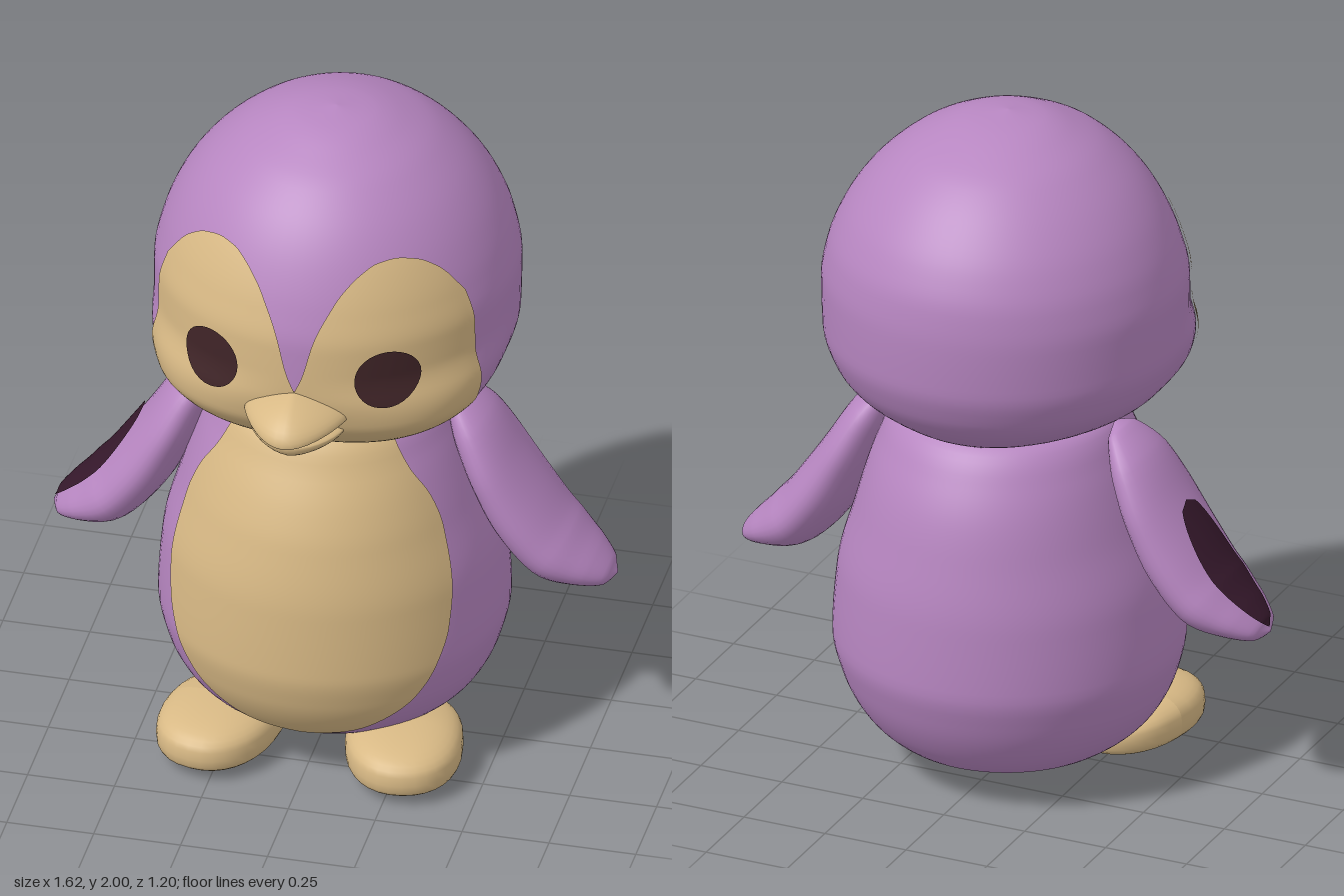
import * as THREE from 'three';
import { mergeVertices } from 'three/addons/utils/BufferGeometryUtils.js';

const material = (name, color) => {
  const m = new THREE.MeshStandardMaterial({ color });
  m.name = name;
  return m;
};

// Smooth surface from fn(u, v) -> [x, y, z]; it faces along du x dv.
function surface(fn, nu, nv) {
  const pos = [], index = [];
  for (let i = 0; i <= nu; i++)
    for (let j = 0; j <= nv; j++) pos.push(...fn(i / nu, j / nv));
  for (let i = 0; i < nu; i++)
    for (let j = 0; j < nv; j++) {
      const a = i * (nv + 1) + j, b = a + nv + 1;
      index.push(a, b, b + 1, a, b + 1, a + 1);
    }
  let g = new THREE.BufferGeometry();
  g.setAttribute('position', new THREE.Float32BufferAttribute(pos, 3));
  g.setIndex(index);
  g = mergeVertices(g, 1e-5);
  g.computeVertexNormals();
  return g;
}

// Monotone cubic through rows [key, value, value...]; column k at key y.
function sample(rows, k, y) {
  const last = rows.length - 1;
  if (y <= rows[0][0]) return rows[0][k];
  if (y >= rows[last][0]) return rows[last][k];
  let i = 0;
  while (y > rows[i + 1][0]) i++;
  const slope = (j) => (rows[j + 1][k] - rows[j][k]) / (rows[j + 1][0] - rows[j][0]);
  const tangent = (j) => {
    if (j === 0) return slope(0);
    if (j === last) return slope(last - 1);
    const p = slope(j - 1), q = slope(j);
    return p * q <= 0 ? 0 : (2 * p * q) / (p + q);
  };
  const h = rows[i + 1][0] - rows[i][0], t = (y - rows[i][0]) / h;
  const t2 = t * t, t3 = t2 * t;
  return rows[i][k] * (2 * t3 - 3 * t2 + 1) + h * tangent(i) * (t3 - 2 * t2 + t)
    + rows[i + 1][k] * (3 * t2 - 2 * t3) + h * tangent(i + 1) * (t3 - t2);
}

// Rounded volume from rows [y, half width, front z, back z].
function volume(rows, power) {
  const ring = (y, grow = 0) => {
    const f = sample(rows, 2, y), b = sample(rows, 3, y);
    return { a: sample(rows, 1, y) + grow, mid: (f + b) / 2, half: (f - b) / 2 + grow, n: power(y) };
  };
  const lo = rows[0][0], hi = rows[rows.length - 1][0];
  return {
    geometry: () => surface((u, v) => {
      const y = lo + (hi - lo) * (1 - Math.cos(Math.PI * v)) / 2;
      const r = ring(y), s = Math.sin(u * 2 * Math.PI), c = Math.cos(u * 2 * Math.PI);
      const e = c > 0 ? 2 / r.n : 1;
      return [r.a * Math.sign(s) * Math.abs(s) ** e, y, r.mid + r.half * Math.sign(c) * Math.abs(c) ** e];
    }, 80, 64),
    // Point on the front, lifted a little for painted plates
    front(x, y, grow) {
      const r = ring(y, grow);
      const q = Math.max(0, 1 - Math.abs(x / r.a) ** r.n);
      return [x, y, r.mid + r.half * q ** (1 / r.n)];
    },
    // Half width of the section where it crosses depth z
    widthAt(z, y, grow) {
      const r = ring(y, grow), q = Math.min(1, Math.max(0, (z - r.mid) / r.half));
      return r.a * (1 - q ** r.n) ** (1 / r.n);
    },
  };
}

const HEAD = [
  [1.06, 0, -0.06, -0.06], [1.08, 0.2, 0.19, -0.32], [1.1, 0.27, 0.26, -0.39], [1.15, 0.385, 0.35, -0.47],
  [1.2, 0.45, 0.4, -0.525], [1.25, 0.485, 0.43, -0.56], [1.35, 0.513, 0.45, -0.595], [1.5, 0.515, 0.445, -0.602],
  [1.6, 0.495, 0.42, -0.592], [1.7, 0.455, 0.38, -0.555], [1.8, 0.39, 0.32, -0.487], [1.9, 0.285, 0.22, -0.38],
  [1.95, 0.2, 0.13, -0.28], [1.985, 0.11, 0.04, -0.17], [2, 0, -0.06, -0.06],
];
const BODY = [
  [0.05, 0, -0.1, -0.1], [0.07, 0.2, 0.13, -0.28], [0.1, 0.32, 0.25, -0.4], [0.2, 0.43, 0.37, -0.495],
  [0.3, 0.475, 0.42, -0.542], [0.4, 0.495, 0.44, -0.568], [0.6, 0.48, 0.435, -0.562], [0.8, 0.425, 0.4, -0.53],
  [0.9, 0.395, 0.365, -0.505], [1.0, 0.36, 0.315, -0.46], [1.1, 0.31, 0.255, -0.385], [1.16, 0, -0.06, -0.06],
];
// Upper edge of the face mask and half width of the belly
const MASK = [[0, 1.365], [0.05, 1.42], [0.115, 1.53], [0.2, 1.605], [0.3, 1.665], [0.45, 1.715], [0.58, 1.738],
  [0.7, 1.743], [0.84, 1.728], [0.94, 1.685], [1, 1.6]];
const BELLY = [[0.15, 0], [0.17, 0.12], [0.2, 0.195], [0.3, 0.32], [0.4, 0.375], [0.5, 0.4], [0.6, 0.405],
  [0.8, 0.37], [0.9, 0.332], [1.0, 0.27], [1.1, 0.22]];
// Wing: [centre x, centre y, half depth, half thickness]
const WING = [[0.33, 1.11, 0, 0], [0.35, 1.085, 0.07, 0.03], [0.405, 1.0, 0.135, 0.065], [0.472, 0.87, 0.17, 0.08],
  [0.545, 0.745, 0.176, 0.09], [0.63, 0.642, 0.168, 0.088], [0.725, 0.585, 0.125, 0.058], [0.787, 0.555, 0.07, 0.03],
  [0.812, 0.55, 0, 0]];
const wingPath = new THREE.CatmullRomCurve3(WING.map(([x, y]) => new THREE.Vector3(x, y, -0.075)));
const wingRows = WING.map(([, , d, t], i) => [i / (WING.length - 1), d, t]);

function wingPoint(side, t, angle, grow = 0) {
  const c = wingPath.getPoint(t), d = wingPath.getTangent(t);
  const thick = (sample(wingRows, 2, t) + grow) * Math.cos(angle);
  const depth = sample(wingRows, 1, t) * Math.sin(angle);
  return [side * (c.x - d.y * thick), c.y + d.x * thick, c.z - side * depth];
}

// Sphere reshaped by a rule on its unit vertices
function blob(rule) {
  const g = new THREE.SphereGeometry(1, 32, 20), p = g.attributes.position;
  for (let i = 0; i < p.count; i++) p.setXYZ(i, ...rule(p.getX(i), p.getY(i), p.getZ(i)));
  g.computeVertexNormals();
  return g;
}
const square = (v, e) => Math.sign(v) * Math.abs(v) ** e;

export function createModel() {
  const purple = material('purple plumage', 0xb786c1);
  const cream = material('cream', 0xd8b985);
  const eyeDark = material('dark brown', 0x3f2427);
  const wingDark = material('dark plum', 0x35182b);
  const model = new THREE.Group();
  model.name = 'penguin';
  const headGroup = new THREE.Group();
  headGroup.name = 'headGroup';
  headGroup.position.x = 0.006;
  model.add(headGroup);
  const add = (parent, name, geometry, mat) => {
    const mesh = new THREE.Mesh(geometry, mat);
    mesh.name = name;
    parent.add(mesh);
    return mesh;
  };

  // Head, squarer at the cheeks, with the two-lobed face mask
  const head = volume(HEAD, (y) => 2.7 - 0.7 * THREE.MathUtils.smoothstep(y, 1.22, 1.42));
  add(headGroup, 'head', head.geometry(), purple);
  add(headGroup, 'faceMask', surface((u, v) => {
    const s = u * 2 - 1;
    const y = 1.085 + (sample(MASK, 1, Math.abs(s)) - 1.085) * v;
    return head.front(s * head.widthAt(0.18, y, 0.006), y, 0.006);
  }, 96, 48), cream);

  // Body and belly
  const body = volume(BODY, () => 2);
  add(model, 'body', body.geometry(), purple);
  add(model, 'belly', surface((u, v) => {
    const y = 0.15 + 0.95 * v ** 1.5;
    return body.front((u * 2 - 1) * sample(BELLY, 1, y), y, 0.007);
  }, 40, 60), cream);

  // Beak halves: lens-shaped from the front, meeting along one line
  add(headGroup, 'upperBeak', blob((x, y, z) => {
    const k = Math.max(0, z), lens = 1 - 0.35 * Math.abs(x);
    return [x * 0.152 * (1 - 0.25 * k), 1.287 + y * lens * (y > 0 ? 0.08 : 0.035) - 0.018 * k * k, 0.42 + z * 0.18];
  }), cream);
  add(headGroup, 'lowerBeak', blob((x, y, z) => {
    const k = Math.max(0, z), lens = 1 - 0.35 * Math.abs(x);
    return [x * 0.138 * (1 - 0.2 * k), 1.243 + y * lens * (y > 0 ? 0.03 : 0.065) - 0.008 * k, 0.42 + z * 0.13];
  }), cream);

  for (const side of [1, -1]) {
    const label = side > 0 ? 'left' : 'right';
    // Eyes follow the curve of the face
    add(headGroup, label + 'Eye', surface((u, v) => {
      const a = v * 2 * Math.PI;
      return head.front(side * 0.253 + 0.085 * u * Math.cos(a), 1.412 + 0.086 * u * Math.sin(a), 0.012);
    }, 8, 32), eyeDark);

    add(model, label + 'Wing', surface((u, v) => wingPoint(side, u, v * 2 * Math.PI), 40, 32), purple);

    // Feet: blocky flattened ovals, lower at the heel, toes turned out
    const foot = add(model, label + 'Foot', blob((x, y, z) => {
      const h = square(y, 0.65);
      const top = h > 0 ? 0.087 + 0.035 * Math.min(0, z) : 0.072;
      return [square(x, 0.9) * 0.166, 0.072 + h * top, square(z, 0.9) * 0.232];
    }), cream);
    foot.position.set(side * 0.262, 0, 0.2);
    foot.rotation.y = side * 0.2;
  }

  // Dark patch on the outside of the right wing
  add(model, 'wingPatch', surface((u, v) => {
    const spread = 0.55 * (4 * u * (1 - u)) ** 0.35;
    return wingPoint(-1, 0.38 + 0.59 * u, (v * 2 - 1) * spread, 0.006);
  }, 36, 16), wingDark);

  return model;
}
